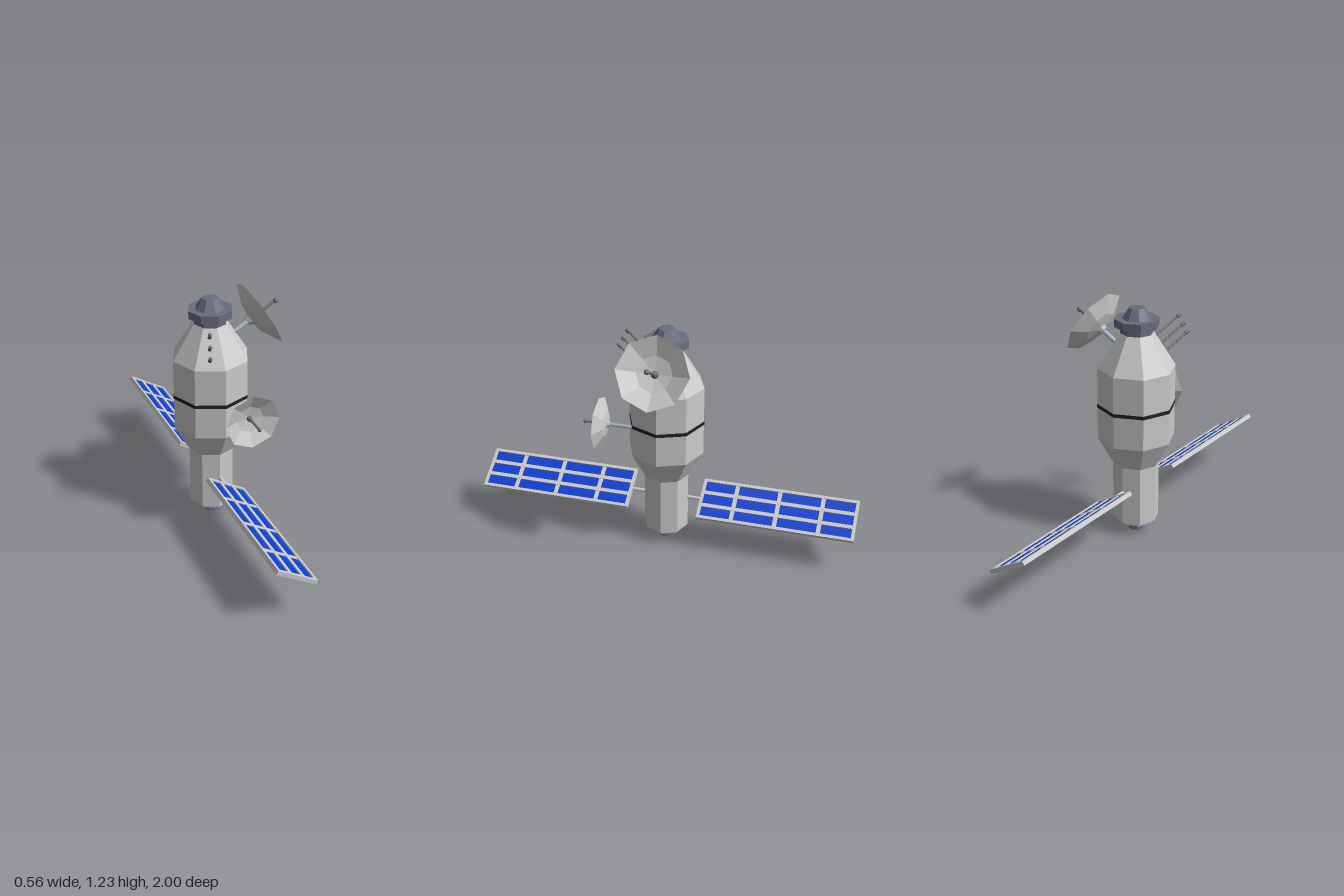
import * as THREE from 'three';

const AXIS_X = -0.082; // hull axis
const material = (color, side = THREE.FrontSide) =>
  new THREE.MeshStandardMaterial({ color, flatShading: true, side });
const GREY = material(0xcccccc);
const DISH = material(0xcccccc, THREE.DoubleSide);
const DARK = material(0x6a6d7e);
const STEEL = material(0xa9b8c6);
const ROD = material(0x737378);
const BLACK = material(0x222222);
const BLUE = material(0x0b3fd0);

function add(parent, name, geometry, mat, x = 0, y = 0, z = 0) {
  const mesh = new THREE.Mesh(geometry, mat);
  mesh.name = name;
  mesh.position.set(x, y, z);
  parent.add(mesh);
  return mesh;
}

function lathe(profile, sides = 8) {
  return new THREE.LatheGeometry(profile.map(([r, y]) => new THREE.Vector2(r, y)), sides);
}

const rod = (r0, r1, length, sides = 8) => new THREE.CylinderGeometry(r1, r0, length, sides);

function group(name, x, y, z) {
  const g = new THREE.Group();
  g.name = name;
  g.position.set(x, y, z);
  return g;
}

// Dish antenna opening along +y, its vertex at the origin
function makeDish(name) {
  const g = group(name, 0, 0, 0);
  add(g, 'reflector', lathe([[0, 0], [0.07, 0.013], [0.14, 0.046]]), DISH);
  add(g, 'stem', rod(0.009, 0.009, 0.13), STEEL, 0, -0.063);
  add(g, 'hub', rod(0.016, 0.022, 0.014), STEEL, 0, -0.004);
  add(g, 'feedCone', rod(0.016, 0.006, 0.04), ROD, 0, 0.02);
  add(g, 'feedRod', rod(0.006, 0.006, 0.09), ROD, 0, 0.075);
  add(g, 'feedTip', new THREE.SphereGeometry(0.011, 8, 6), ROD, 0, 0.121);
  return g;
}

// Solar panel lying flat, centred, long side along z
function makePanel(name) {
  const g = group(name, 0, 0, 0);
  const W = 0.232, L = 0.815, T = 0.022, edge = 0.016;
  add(g, 'solarCells', new THREE.BoxGeometry(W - edge, 0.008, L - edge), BLUE);
  for (const s of [-1, 1]) {
    add(g, 'sideRail', new THREE.BoxGeometry(edge, T, L), GREY, s * (W - edge) / 2);
    add(g, 'endRail', new THREE.BoxGeometry(W - 2 * edge, T, edge), GREY, 0, 0, s * (L - edge) / 2);
    add(g, 'longBar', new THREE.BoxGeometry(0.02, 0.018, L - 2 * edge), GREY, s * 0.037);
  }
  for (const z of [-0.225, 0, 0.225])
    add(g, 'crossBar', new THREE.BoxGeometry(W - 2 * edge, 0.015, 0.022), GREY, 0, 0, z);
  return g;
}

export function createModel() {
  const model = new THREE.Group();
  model.name = 'spacecraft';

  // Eight-sided hull stack
  const hull = group('hull', AXIS_X, 0, 0);
  model.add(hull);
  add(hull, 'body', lathe([[0, 0.075], [0.118, 0.075], [0.118, 0.385], [0.195, 0.525],
    [0.195, 0.895], [0.085, 1.072], [0, 1.072]]), GREY);
  add(hull, 'hullBand', rod(0.197, 0.197, 0.018), BLACK, 0, 0.7);
  add(hull, 'baseCollar', rod(0.098, 0.098, 0.024), STEEL, 0, 0.066);
  add(hull, 'nozzle', lathe([[0, 0.012], [0.025, 0.012], [0.025, 0], [0.037, 0],
    [0.037, 0.056], [0, 0.056]]), DARK);
  add(hull, 'dockingPort', lathe([[0.083, 1.068], [0.083, 1.105], [0.112, 1.105], [0.112, 1.145],
    [0.074, 1.145], [0.04, 1.198], [0, 1.198]]), DARK);

  // Solar wings fore and aft, tilted about z
  for (const s of [-1, 1]) {
    const wing = group(s > 0 ? 'frontWing' : 'rearWing', AXIS_X, 0.248, 0);
    const panel = makePanel('solarPanel');
    panel.position.z = s * 0.5925;
    panel.rotation.z = -Math.PI / 6;
    wing.add(panel);
    const arm = add(wing, 'wingArm', rod(0.009, 0.009, 0.1), GREY, 0, 0, s * 0.145);
    arm.rotation.x = Math.PI / 2;
    model.add(wing);
  }

  // Small dish facing forward, large dish up and to the left
  const frontDish = makeDish('frontDish');
  frontDish.position.set(0, 0.668, 0.285);
  frontDish.rotation.x = Math.PI / 2;
  const topDish = makeDish('topDish');
  topDish.position.set(0.127, 1.044, 0);
  topDish.rotation.z = -Math.PI / 3;
  topDish.scale.setScalar(1.32);
  model.add(frontDish, topDish);

  // Three parallel whip antennas on the upper cone
  const direction = new THREE.Vector3(-0.052, 0.082, 0.135);
  const length = direction.length();
  direction.normalize();
  for (const [x, y, z] of [[-0.123, 1.033, 0.091], [-0.133, 0.984, 0.118], [-0.143, 0.938, 0.143]]) {
    const whip = group('whipAntenna', x, y, z);
    whip.quaternion.setFromUnitVectors(new THREE.Vector3(0, 1, 0), direction);
    add(whip, 'whipBase', new THREE.SphereGeometry(0.01, 8, 6), ROD);
    add(whip, 'whipRod', rod(0.006, 0.006, length), ROD, 0, length / 2);
    add(whip, 'whipTip', lathe([[0, -0.016], [0.01, -0.01], [0.01, 0.01], [0, 0.016]]), ROD, 0, length);
    model.add(whip);
  }
  return model;
}
